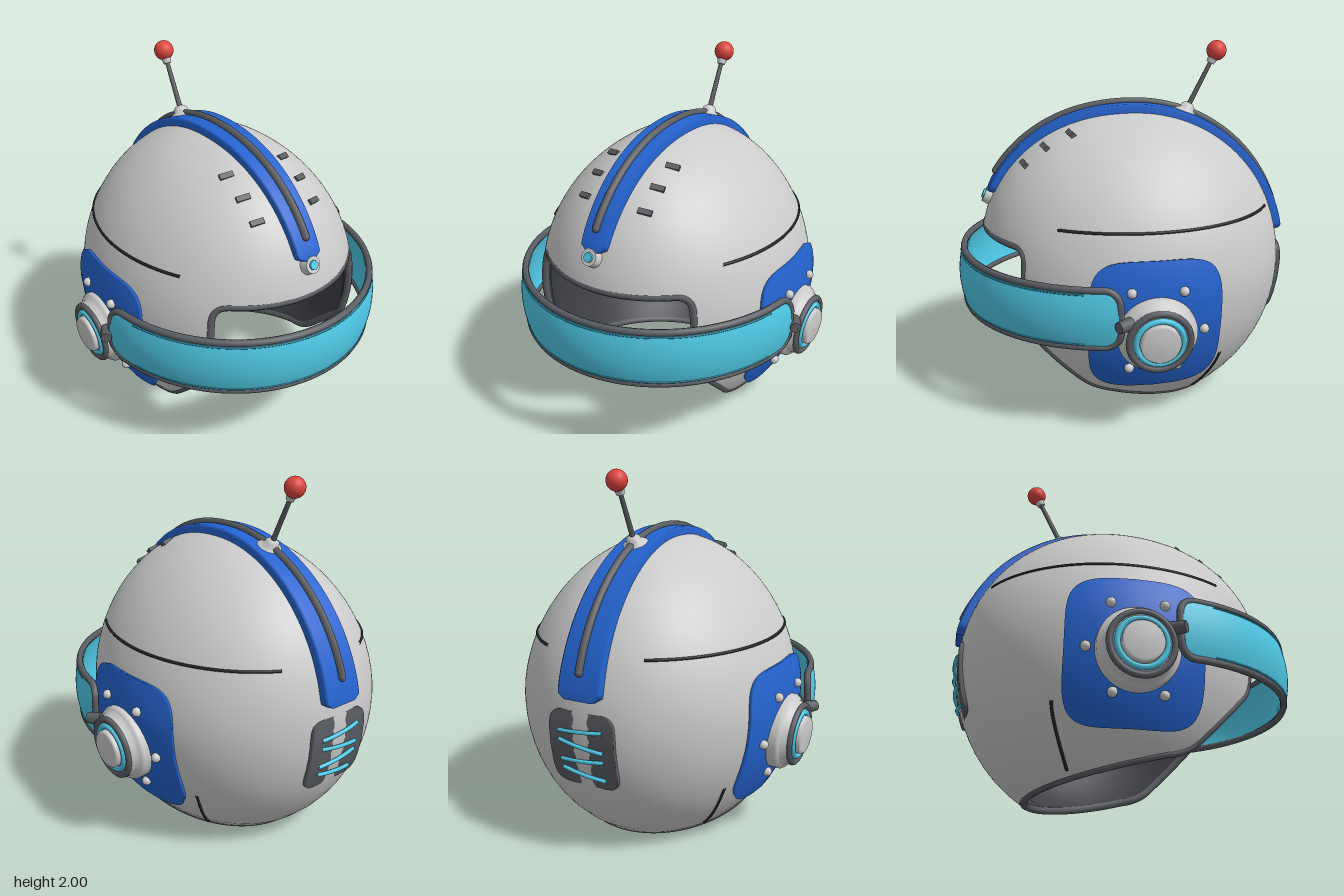
import * as THREE from 'three';
import { ParametricGeometry } from 'three/addons/geometries/ParametricGeometry.js';

const V = (x, y, z) => new THREE.Vector3(x, y, z);
const mat = (color) => new THREE.MeshStandardMaterial({ color, side: THREE.DoubleSide });
const white = mat(0xcccccc), dark = mat(0x5a5d62), lining = mat(0x3b3d43), line = mat(0x202226);
const blue = mat(0x2463cf), cyan = mat(0x4fc9e6), red = mat(0xdf4640);
const { lerp, clamp } = THREE.MathUtils;
const CY = 0.75, CZ = -0.07, RY = 0.88;

function add(parent, name, geometry, material) {
  const mesh = new THREE.Mesh(geometry, material);
  mesh.name = name;
  parent.add(mesh);
  return mesh;
}

// Sheet from a function of (u, v) returning a point
const sheet = (fn, nu, nv) => new ParametricGeometry((u, v, out) => out.copy(fn(u, v)), nu, nv);

// Tube through the points fn(0..1)
function tube(fn, n, radius, closed = false) {
  const pts = [];
  for (let i = 0; i < n; i++) pts.push(fn(i / (closed ? n : n - 1)));
  return new THREE.TubeGeometry(new THREE.CatmullRomCurve3(pts, closed), n * 2, radius, 8, closed);
}

// Half width at distance d from a rounded end
const roundEnd = (h, r, d) => (d >= r ? h : h - r + Math.sqrt(Math.max(0, r * r - (r - d) ** 2)));

// Egg-shaped helmet skin: half width, front and back depth at a height
function radii(y) {
  const t = Math.min(Math.abs(y - CY) / RY, 0.99995), up = y > CY;
  const f = (p) => (1 - t ** p) ** (1 / p);
  return { w: 0.765 * f(up ? 1.8 : 2), front: 0.88 * f(up ? 2.2 : 2), back: 0.87 * f(2) };
}
// Skin point by angle from the front and height
function skin(a, y, off = 0) {
  const r = radii(y), k = 1 + off / 0.85, c = Math.cos(a);
  return V(r.w * Math.sin(a) * k, CY + (y - CY) * k, CZ + (c > 0 ? r.front : r.back) * c * k);
}
// Skin point on one side by depth and height
function sideSkin(s, z, y, off = 0) {
  const r = radii(y);
  return skin(s * Math.acos(clamp((z - CZ) / (z > CZ ? r.front : r.back), -1, 1)), y, off);
}
// Centre line over the crown, 0 = front, PI = back
function crown(f, off = 0) {
  return skin(f < Math.PI / 2 ? 0 : Math.PI, CY + RY * Math.sin(f), off).setX(0);
}

// Rounded rectangle outline, unit half sizes hx, hy
function roundedRect(u, hx, hy, power) {
  const a = u * Math.PI * 2, c = Math.cos(a), s = Math.sin(a), e = 2 / power;
  return [hx * Math.sign(c) * Math.abs(c) ** e, hy * Math.sign(s) * Math.abs(s) ** e];
}
// Domed plate with a skirt; place(p, q, off) puts plate coordinates on the skin
function plate(hx, hy, power, thick, place) {
  return sheet((u, v) => {
    const k = Math.max(0.002, Math.min(1, v / 0.8)), [p, q] = roundedRect(u, hx, hy, power);
    const edge = clamp((v - 0.8) / 0.2, 0, 1);
    return place(p * k, q * k, lerp(thick, -0.03, edge));
  }, 80, 15);
}

// Edge of the face and neck opening: angle from the front, height
const rim = new THREE.Path();
rim.moveTo(0, 0.99);
rim.lineTo(0.62, 0.99);
rim.quadraticCurveTo(0.74, 0.99, 0.74, 0.9);
rim.lineTo(0.74, 0.58);
rim.quadraticCurveTo(0.73, 0.52, 0.8, 0.47);
rim.lineTo(1.05, 0.24);
rim.quadraticCurveTo(1.12, 0.165, 1.3, 0.15);
rim.quadraticCurveTo(2.1, 0.01, Math.PI, 0.01);

function shellGeometry(off) {
  return sheet((u, v) => {
    const q = 2 * u - 1, s = Math.abs(q), p = rim.getPointAt(s), k = Math.min(1, v / 0.4);
    let y = lerp(p.y, 1.1, k);
    if (v > 0.4) y = CY + RY * Math.sin(lerp(Math.asin(0.35 / RY), Math.PI / 2 - 0.012, (v - 0.4) / 0.6));
    return skin(Math.sign(q) * lerp(p.x, Math.PI * s, k), y, off);
  }, 180, 40);
}

// Visor point by angle and height
const VA = 1.51, VY = 0.71;
function visorPoint(a, y, k = 1) {
  const b = k * (1 - 0.03 * ((y - VY) / 0.16) ** 2);
  return V(0.845 * b * Math.sin(a), y, 0.05 + 0.89 * b * Math.cos(a));
}
const visorHalf = (a) => roundEnd(0.155, 0.08, (VA - Math.abs(a)) * 0.85);

function buildVisor() {
  const g = new THREE.Group();
  g.name = 'visor';
  for (const [name, k] of [['visorOuter', 1], ['visorInner', 0.975]])
    add(g, name, sheet((u, v) => {
      const a = VA * Math.sin((u - 0.5) * Math.PI);
      return visorPoint(a, VY + visorHalf(a) * (2 * v - 1), k);
    }, 90, 12), cyan);
  add(g, 'visorTrim', tube((t) => {
    const w = 2 * Math.PI * t, a = VA * Math.sin(w), side = Math.cos(w) >= 0 ? 1 : -1;
    return visorPoint(a, VY + side * visorHalf(a), 0.988);
  }, 160, 0.019, true), dark);
  for (const y of [0.845, 0.573])
    add(g, 'visorGroove', tube((t) => visorPoint(lerp(-1.3, 1.3, t), y), 50, 0.005), mat(0x2b8ca6));
  return g;
}

// Ear plate, disc stack, screws, seams and slits of one side
function buildSide(s) {
  const g = new THREE.Group();
  g.name = s > 0 ? 'leftSide' : 'rightSide';
  add(g, 'earPlate', plate(0.34, 0.365, 4.5, 0.028,
    (p, q, off) => sideSkin(s, -0.095 + p, 0.615 + q, off)), blue);

  const ear = new THREE.Group();
  ear.name = 'earDisc';
  ear.position.set(s * 0.7, 0.6, -0.095);
  ear.rotation.z = -s * Math.PI / 2 - s * 0.06;
  const base = [[0.21, 0], [0.21, 0.09], [0.2, 0.105], [0.18, 0.115], [0.175, 0.145], [0.16, 0.16], [0, 0.16]];
  add(ear, 'earBase', new THREE.LatheGeometry(base.map((p) => new THREE.Vector2(...p)), 48), white);
  for (const [name, r, t, h, m] of [['earRing', 0.158, 0.018, 0.152, dark], ['earGlowRing', 0.122, 0.016, 0.16, cyan]]) {
    const ring = add(ear, name, new THREE.TorusGeometry(r, t, 10, 48), m);
    ring.rotation.x = Math.PI / 2;
    ring.position.y = h;
  }
  const cap = [[0.105, 0.14], [0.105, 0.185], [0.095, 0.198], [0, 0.2]];
  add(ear, 'earCap', new THREE.LatheGeometry(cap.map((p) => new THREE.Vector2(...p)), 40), white);
  g.add(ear);

  for (const [z, y] of [[0.035, 0.83], [-0.225, 0.825], [-0.337, 0.605], [-0.205, 0.4], [0.04, 0.4]])
    add(g, 'screw', new THREE.SphereGeometry(0.026, 16, 12), white).position.copy(sideSkin(s, z, y, 0.035));

  // Visor hinge
  const hinge = add(g, 'visorHinge', new THREE.CylinderGeometry(0.03, 0.036, 0.08, 16), dark);
  hinge.position.set(s * 0.85, 0.69, 0.085);
  hinge.rotation.set(Math.PI / 2, 0, -s * 0.6);

  add(g, 'upperSeam', tube((t) => sideSkin(s, lerp(0.39, -0.79, t), 1.11), 40, 0.008), line);
  add(g, 'lowerSeam', tube((t) => sideSkin(s, -0.48 + 0.11 * t ** 1.4, lerp(0.37, 0.08, t)), 14, 0.008), line);

  // Brow slits
  for (const y of [1.37, 1.46, 1.53]) {
    const r = radii(y), slit = add(g, 'slit', new THREE.BoxGeometry(0.075, 0.03, 0.03), dark);
    slit.position.set(s * 0.19, y, CZ + r.front * Math.sqrt(1 - (0.19 / r.w) ** 2));
    slit.rotation.set(0.75, s * 0.12, -s * 0.28);
  }
  return g;
}

// Blue crest, rail and front lamp
function buildCrest() {
  const g = new THREE.Group();
  g.name = 'crest';
  const f0 = Math.asin(0.42 / RY), f1 = Math.PI - Math.asin(0.15 / RY);
  add(g, 'crestBand', sheet((u, v) => {
    const t = v, f = lerp(f0, f1, t);
    const w = roundEnd(lerp(0.075, 0.125, t), 0.04, Math.min(t, 1 - t) * 2.1);
    const [x, off] = [[-1, -0.04], [-1, 0.022], [-0.9, 0.034], [0.9, 0.034], [1, 0.022], [1, -0.04]][Math.round(u * 5)];
    return crown(f, off).setX(x * w);
  }, 5, 90), blue).geometry.computeVertexNormals();
  for (const f of [f0, f1])
    add(g, 'crestEnd', sheet((u, v) => crown(f, lerp(-0.04, 0.03, v)).setX((u - 0.5) * (f === f0 ? 0.07 : 0.17)), 2, 1), blue);
  const r0 = Math.asin(0.52 / RY), r1 = Math.PI - Math.asin(0.28 / RY);
  add(g, 'crestRail', tube((t) => crown(lerp(r0, r1, t), 0.038), 60, 0.021), dark);
  for (const f of [r0, r1])
    add(g, 'railEnd', new THREE.SphereGeometry(0.021, 12, 8), dark).position.copy(crown(f, 0.038));

  const lamp = new THREE.Group();
  lamp.name = 'frontLamp';
  lamp.position.copy(skin(0, 1.145, 0));
  lamp.rotation.x = Math.PI / 2 - 0.42;
  add(lamp, 'lampHousing', new THREE.CylinderGeometry(0.045, 0.057, 0.06, 32), white).position.y = 0.01;
  add(lamp, 'lampLens', new THREE.CylinderGeometry(0.025, 0.03, 0.03, 24), cyan).position.y = 0.035;
  g.add(lamp);
  return g;
}

function buildAntenna() {
  const g = new THREE.Group();
  g.name = 'antenna';
  g.position.set(0, 1.585, -0.375);
  g.rotation.x = -0.463;
  const base = [[0.085, -0.03], [0.083, 0.01], [0.06, 0.03], [0.042, 0.04], [0.038, 0.06], [0.02, 0.075], [0, 0.076]];
  add(g, 'antennaBase', new THREE.LatheGeometry(base.map((p) => new THREE.Vector2(...p)), 32), white);
  add(g, 'antennaRod', new THREE.CylinderGeometry(0.012, 0.015, 0.32, 12), dark).position.y = 0.2;
  add(g, 'antennaCollar', new THREE.CylinderGeometry(0.03, 0.022, 0.04, 20), white).position.y = 0.345;
  add(g, 'antennaBall', new THREE.SphereGeometry(0.056, 28, 20), red).position.y = 0.402;
  return g;
}

// Rear plate that the shell bulges through, with laces across it
function buildRear() {
  const g = new THREE.Group();
  g.name = 'rearVent';
  add(g, 'rearPlate', plate(0.19, 0.21, 6, 0.008, (p, q, off) => {
    const y = 0.63 + q;
    return V(p, y, CZ - radii(y).back + 0.01 - off);
  }), dark);
  [0.74, 0.66, 0.58, 0.5].forEach((y, i) => {
    const tilt = i % 2 ? -0.018 : 0.012;
    add(g, 'lace', tube((t) => skin(Math.PI + lerp(-0.17, 0.17, t), y + tilt * (2 * t - 1), 0.012), 12, 0.011), cyan);
  });
  return g;
}

export function createModel() {
  const model = new THREE.Group();
  model.name = 'helmet';
  add(model, 'shell', shellGeometry(0), white);
  add(model, 'lining', shellGeometry(-0.035), lining);
  add(model, 'rimTrim', tube((t) => {
    const q = 2 * t - 1, p = rim.getPointAt(Math.abs(q));
    return skin(Math.sign(q) * p.x, p.y, -0.016);
  }, 200, 0.022, true), dark);
  model.add(buildVisor(), buildSide(1), buildSide(-1), buildCrest(), buildAntenna(), buildRear());
  return model;
}
